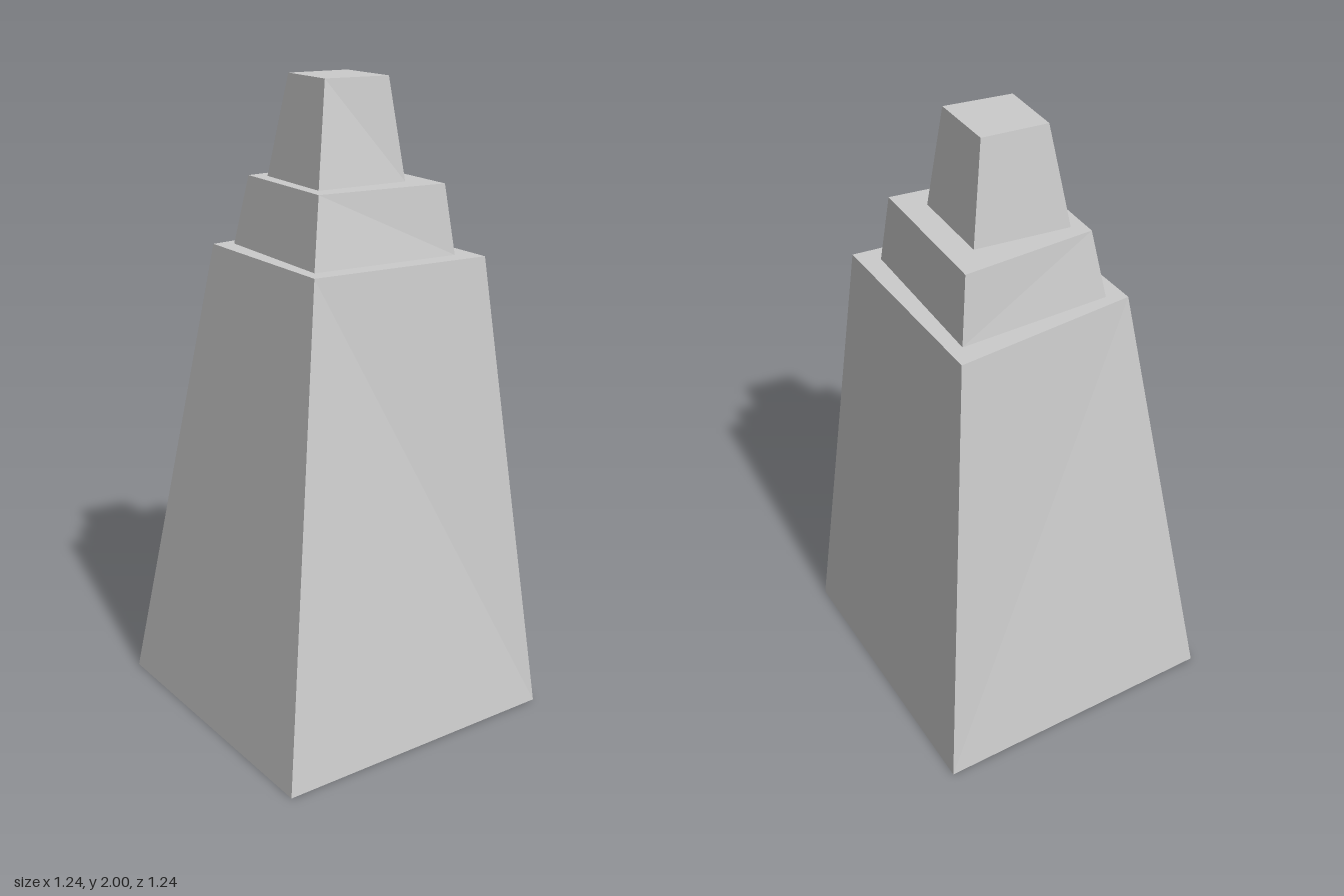
import * as THREE from 'three';

const material = new THREE.MeshStandardMaterial({ color: 0xcccccc, flatShading: true });

// Solid block between two four-cornered outlines of [x, z], ordered left, front, right, back
function taperedBlock(name, y0, bottom, y1, top) {
  const points = [
    ...bottom.map(([x, z]) => [x, y0, z]),
    ...top.map(([x, z]) => [x, y1, z]),
  ];
  const index = [4, 5, 6, 4, 6, 7, 0, 2, 1, 0, 3, 2]; // top and underside
  for (let i = 0; i < 4; i++) {
    const j = (i + 1) % 4;
    // the sides are slightly twisted, so the fold direction matters
    if (i === 1) index.push(i, j, i + 4, j, j + 4, i + 4);
    else index.push(i, j, j + 4, i, j + 4, i + 4);
  }
  const indexed = new THREE.BufferGeometry();
  indexed.setAttribute('position', new THREE.Float32BufferAttribute(points.flat(), 3));
  indexed.setIndex(index);
  const geometry = indexed.toNonIndexed();
  geometry.computeVertexNormals();
  const mesh = new THREE.Mesh(geometry, material);
  mesh.name = name;
  return mesh;
}

export function createModel() {
  const group = new THREE.Group();
  group.name = 'steppedTower';
  group.add(
    // Tall tapering base
    taperedBlock('towerBase',
      0, [[-0.62, 0.265], [0.265, 0.618], [0.618, -0.268], [-0.267, -0.618]],
      1.48, [[-0.357, 0.12], [0.156, 0.325], [0.424, -0.186], [-0.184, -0.426]]),
    // Low middle step
    taperedBlock('middleTier',
      1.48, [[-0.306, 0.081], [0.12, 0.271], [0.34, -0.153], [-0.134, -0.36]],
      1.693, [[-0.262, 0.06], [0.103, 0.223], [0.308, -0.139], [-0.124, -0.329]]),
    // Small cap
    taperedBlock('topCap',
      1.693, [[-0.205, 0.04], [0.065, 0.166], [0.193, -0.104], [-0.064, -0.217]],
      2, [[-0.142, 0.015], [0.043, 0.1], [0.148, -0.078], [-0.049, -0.162]]),
  );
  return group;
}
